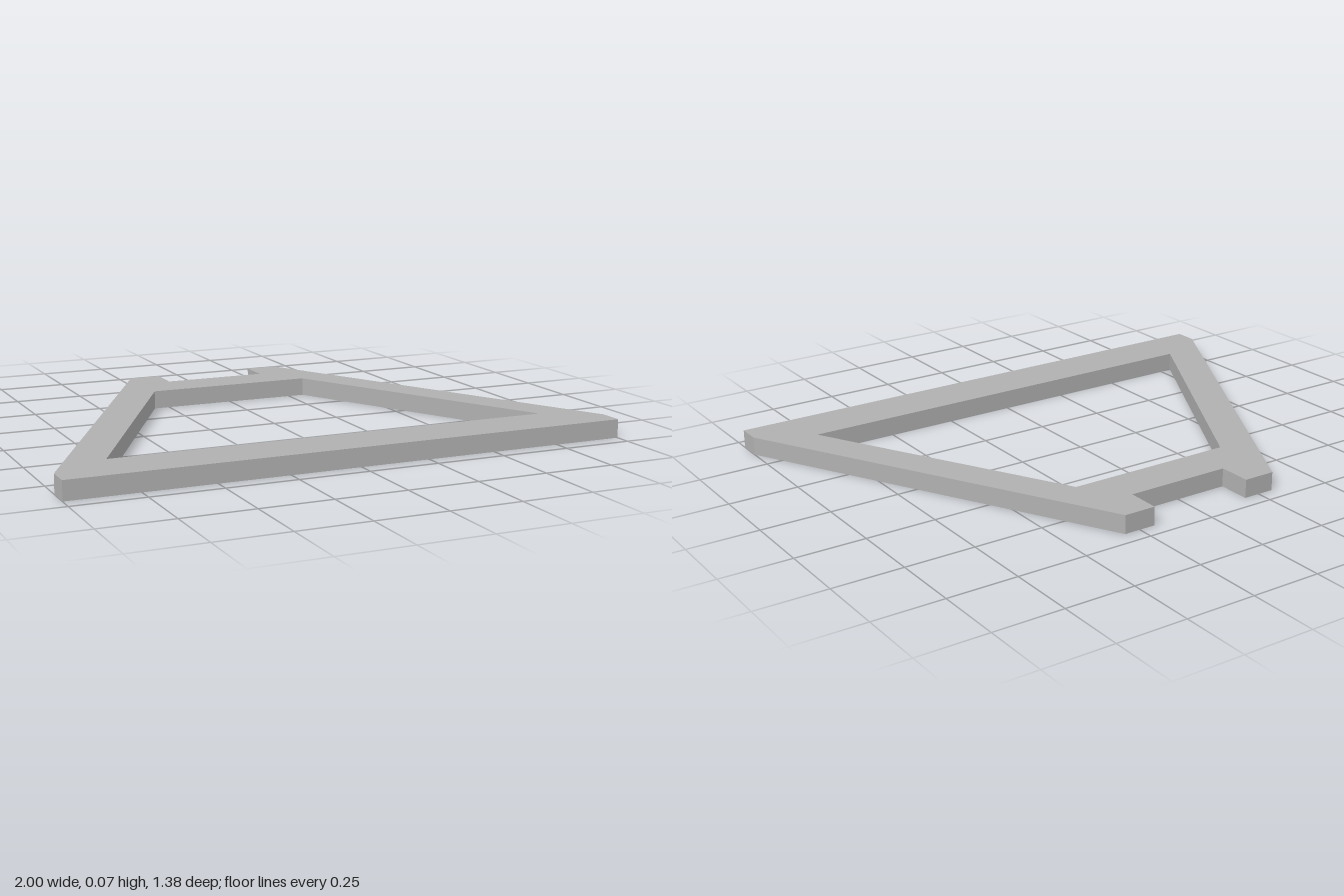
import * as THREE from 'three';

const THICKNESS = 0.066;

// Mirrors a right-hand outline of [x, z] points into a closed loop in the XY plane (y = -z)
function mirroredLoop(half) {
  const right = half.map(([x, z]) => new THREE.Vector2(x, -z));
  const left = half.map(([x, z]) => new THREE.Vector2(-x, -z)).reverse();
  return [...right, ...left];
}

export function createModel() {
  const group = new THREE.Group();
  group.name = 'trapezoidBracket';

  const grey = new THREE.MeshStandardMaterial({ color: 0xb0b0b0 });
  grey.name = 'grey';

  // Outer outline: front bar, clipped corners, sloping sides, notched back edge
  const outline = new THREE.Shape(mirroredLoop([
    [1, 0.692], [1, 0.607], [0.308, -0.692], [0.192, -0.692], [0.192, -0.572],
  ]));

  // Trapezoid opening
  outline.holes.push(new THREE.Path(mirroredLoop([[0.8, 0.502], [0.308, -0.417]])));

  // Flat plate lying on the ground
  const geometry = new THREE.ExtrudeGeometry(outline, { depth: THICKNESS, bevelEnabled: false });
  geometry.rotateX(-Math.PI / 2);
  const frame = new THREE.Mesh(geometry, grey);
  frame.name = 'frame';
  group.add(frame);

  return group;
}
